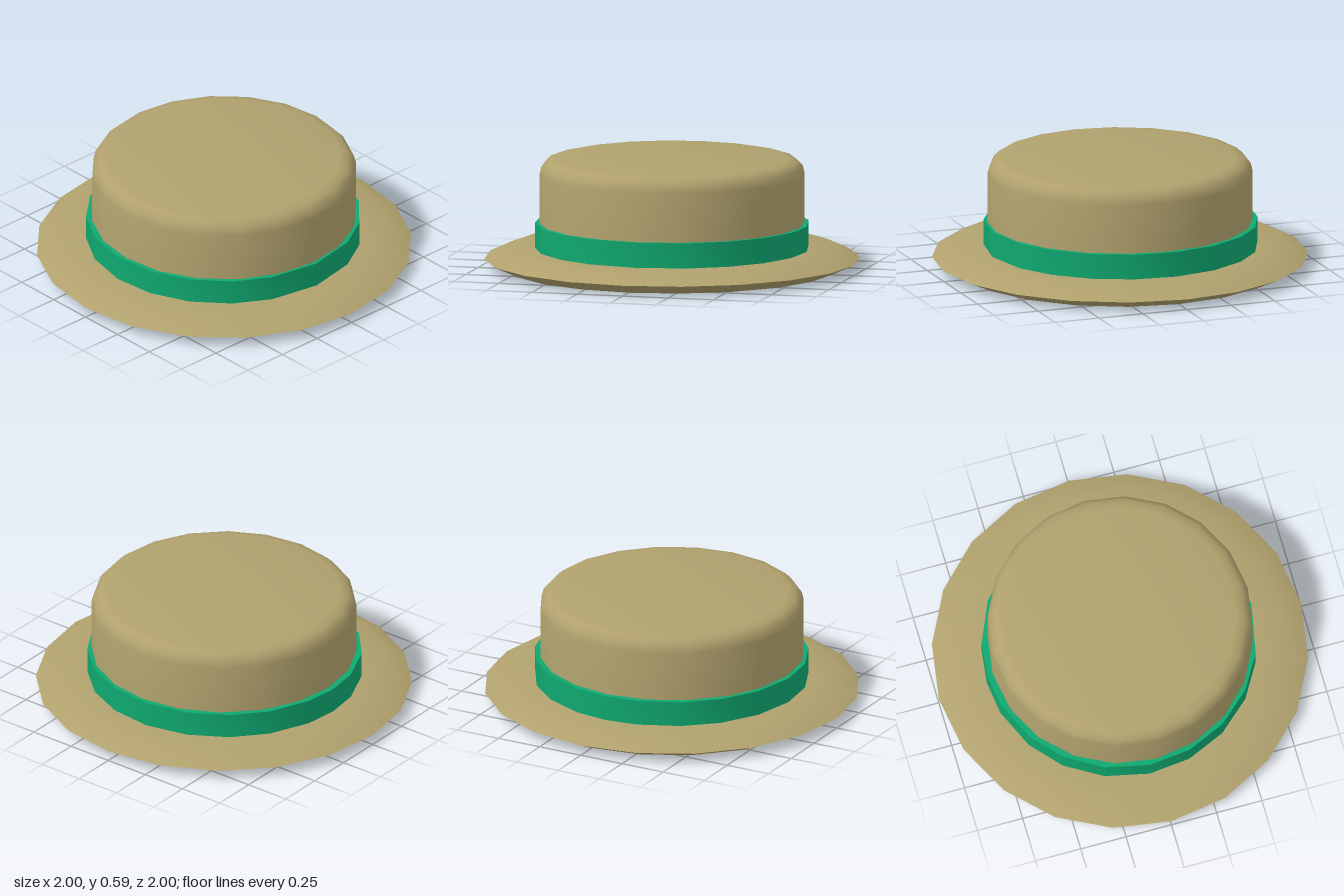
import * as THREE from 'three';
import { toCreasedNormals } from 'three/addons/utils/BufferGeometryUtils.js';

const straw = new THREE.MeshStandardMaterial({ color: 0xb0a16d });
const ribbon = new THREE.MeshStandardMaterial({ color: 0x0fa870 });

const SIDES = 20;

// Turned part from [radius, height] pairs, running from the underside outwards and up
function turned(name, profile, material, reshape) {
  const points = profile.map(([r, y]) => new THREE.Vector2(r, y));
  const lathe = new THREE.LatheGeometry(points, SIDES);
  if (reshape) reshape(lathe.attributes.position);
  const mesh = new THREE.Mesh(toCreasedNormals(lathe, 0.75), material);
  mesh.name = name;
  return mesh;
}

// The ribbon's corners are unevenly spaced: degrees from the right side round to the left,
// mirrored front to back
const RIBBON_ANGLES = [0, 14.4, 33, 50, 68, 87, 105, 123, 141, 158, 180];
function spaceRibbon(position) {
  const half = SIDES / 2;
  for (let i = 0; i < position.count; i++) {
    const x = position.getX(i), z = position.getZ(i);
    const r = Math.hypot(x, z);
    const step = Math.round(Math.atan2(z, -x) / Math.PI * half);
    const angle = Math.sign(step) * THREE.MathUtils.degToRad(RIBBON_ANGLES[Math.abs(step)]);
    position.setXYZ(i, -r * Math.cos(angle) - 0.005, position.getY(i), r * Math.sin(angle));
  }
}

export function createModel() {
  const hat = new THREE.Group();
  hat.name = 'strawHat';

  // Brim with a knife edge, and the shallow recess underneath
  hat.add(turned('brim', [
    [0, 0.015], [0.53, 0.03], [0.53, 0.05], [0.705, 0.05], [0.705, 0],
    [0.88, 0], [1, 0.055], [0.88, 0.11], [0.68, 0.11],
  ], straw));

  // Crown with a rounded top edge
  hat.add(turned('crown', [
    [0.705, 0.09], [0.705, 0.51], [0.695, 0.55], [0.665, 0.58], [0.62, 0.59], [0, 0.59],
  ], straw));

  // Ribbon around the crown
  hat.add(turned('ribbonBand', [
    [0.68, 0.11], [0.73, 0.11], [0.73, 0.245], [0.68, 0.245],
  ], ribbon, spaceRibbon));

  return hat;
}
